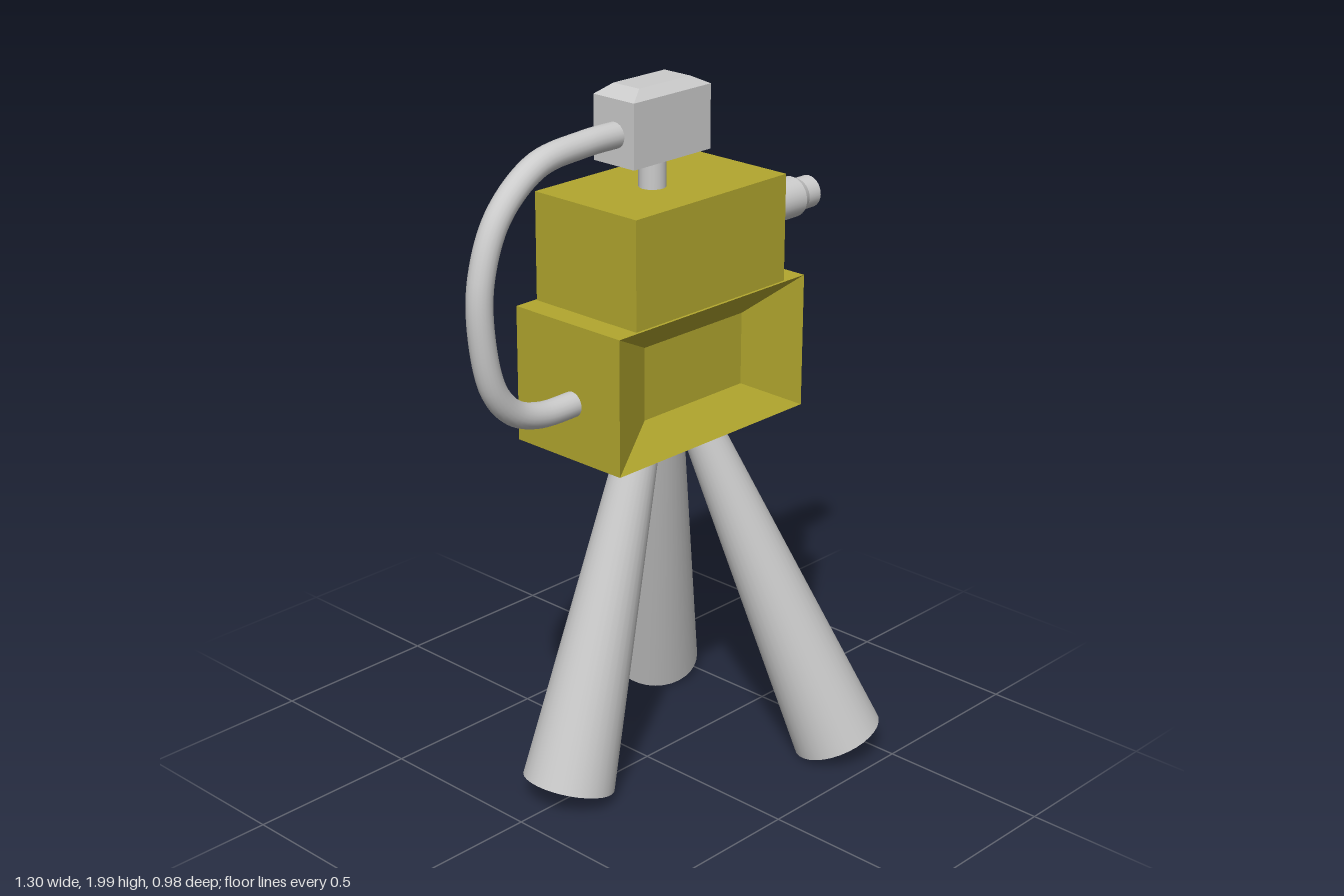
import * as THREE from 'three';

const yellow = new THREE.MeshStandardMaterial({ color: 0xb2a72e });
const grey = new THREE.MeshStandardMaterial({ color: 0xcccccc });
const greyOpen = new THREE.MeshStandardMaterial({ color: 0xcccccc, side: THREE.DoubleSide });
const V = (x, y, z) => new THREE.Vector3(x, y, z);

// Flat-faced solid through rectangles [w, u0, u1, v0, v1] stacked along an axis.
// Axis z: u = x, v = y.  Axis x: u = y, v = z.  Axis y: u = z, v = x.
function rectLoft(axis, rects) {
  const place = {
    z: (u, v, w) => [u, v, w],
    x: (u, v, w) => [w, u, v],
    y: (u, v, w) => [v, w, u],
  }[axis];
  const rings = rects.map(([w, u0, u1, v0, v1]) =>
    [[u0, v0], [u1, v0], [u1, v1], [u0, v1]].map(([u, v]) => place(u, v, w)));
  const pos = [];
  const quad = (a, b, c, d) => pos.push(...a, ...b, ...c, ...a, ...c, ...d);
  for (let r = 0; r < rings.length - 1; r++) {
    for (let i = 0; i < 4; i++) {
      const j = (i + 1) % 4;
      quad(rings[r][i], rings[r][j], rings[r + 1][j], rings[r + 1][i]);
    }
  }
  quad(...[...rings[0]].reverse());
  quad(...rings[rings.length - 1]);
  const geo = new THREE.BufferGeometry();
  geo.setAttribute('position', new THREE.Float32BufferAttribute(pos, 3));
  geo.computeVertexNormals();
  return geo;
}

// Open tapered tube between two points
function taperedTube(from, to, rFrom, rTo) {
  const dir = to.clone().sub(from);
  const geo = new THREE.CylinderGeometry(rTo, rFrom, dir.length(), 32, 1, true);
  geo.applyQuaternion(new THREE.Quaternion().setFromUnitVectors(V(0, 1, 0), dir.normalize()));
  const mid = from.clone().add(to).multiplyScalar(0.5);
  return geo.translate(mid.x, mid.y, mid.z);
}

export function createModel() {
  const model = new THREE.Group();
  const add = (name, geo, mat) => {
    const mesh = new THREE.Mesh(geo, mat);
    mesh.name = name;
    model.add(mesh);
  };

  // Lower housing with funnel-shaped recesses in front and back
  add('lowerHousing', rectLoft('z', [
    [-0.115, -0.13, 0.25, 1.12, 1.325],
    [-0.19, -0.3, 0.42, 1.03, 1.41],
    [0.19, -0.3, 0.42, 1.03, 1.41],
    [0.115, -0.13, 0.25, 1.12, 1.325],
  ]), yellow);

  // Upper housing tapering towards the nozzle
  add('upperHousing', rectLoft('x', [
    [-0.23, 1.41, 1.71, -0.185, 0.182],
    [0.345, 1.41, 1.71, -0.185, 0.182],
    [0.44, 1.505, 1.62, -0.076, 0.076],
  ]), yellow);

  // Top box with chamfered lid
  add('topBox', rectLoft('y', [
    [1.8, -0.06, 0.085, -0.137, 0.15],
    [1.975, -0.06, 0.085, -0.137, 0.15],
    [2.0, -0.034, 0.058, -0.09, 0.1],
  ]), grey);

  // Post carrying the top box
  add('post', new THREE.CylinderGeometry(0.037, 0.037, 0.14, 24).translate(0.016, 1.75, 0.003), grey);

  // Stepped open nozzle
  const nozzle = new THREE.Group();
  nozzle.name = 'nozzle';
  [[0.42, 0.575, 0.058, 0.058], [0.575, 0.6, 0.058, 0.046], [0.6, 0.648, 0.046, 0.046]]
    .forEach(([x0, x1, r0, r1]) => nozzle.add(new THREE.Mesh(
      taperedTube(V(x0, 1.56, 0.006), V(x1, 1.56, 0.006), r0, r1), greyOpen)));
  nozzle.children.forEach((m, i) => { m.name = `nozzleSection${i + 1}`; });
  model.add(nozzle);

  // Hose looping from the top box to the lower housing
  const path = new THREE.CatmullRomCurve3([
    [-0.1, 1.88], [-0.25, 1.879], [-0.42, 1.855], [-0.55, 1.75], [-0.61, 1.6],
    [-0.612, 1.45], [-0.575, 1.3], [-0.51, 1.225], [-0.42, 1.192], [-0.27, 1.188],
  ].map(([x, y]) => V(x, y, 0.016)));
  add('hose', new THREE.TubeGeometry(path, 72, 0.035, 20), greyOpen);

  // Three flared, open-ended legs
  const legs = [
    ['rightLeg', V(-0.315, 0.057, 0), V(-0.003, 1.09, 0)],
    ['frontLeg', V(0.412, 0.057, 0.363), V(0.115, 1.09, 0.047)],
    ['backLeg', V(0.412, 0.057, -0.363), V(0.115, 1.09, -0.047)],
  ];
  legs.forEach(([name, foot, top]) => add(name, taperedTube(foot, top, 0.13, 0.05), greyOpen));

  return model;
}
